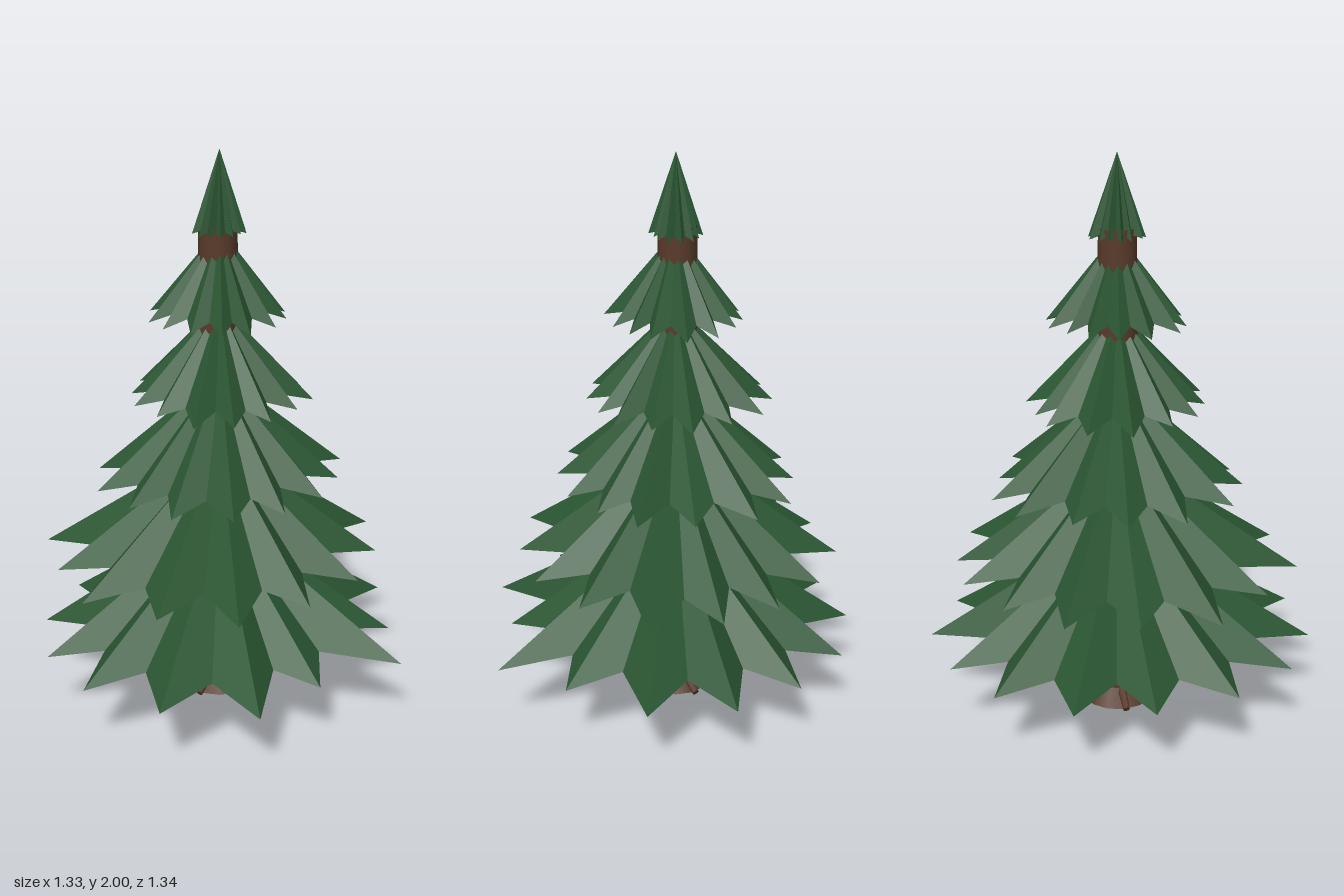
import * as THREE from 'three';

const green = new THREE.MeshStandardMaterial({ color: 0x2a5532, flatShading: true });
green.name = 'pine green';
const brown = new THREE.MeshStandardMaterial({ color: 0x593b2b });
brown.name = 'bark brown';

const POINTS = 14;
const STEP = (Math.PI * 2) / POINTS;

// small seeded random, 0..1
function seeded(seed) {
  let s = seed;
  return () => {
    s = (s * 16807) % 2147483647;
    return s / 2147483647;
  };
}

// star-shaped cone: drooping tips, raised valleys, hollowed underside
function tierGeometry({ apex, tip, valley, cap, radii, angles }, seed) {
  const rand = seeded(seed);
  const at = (r, a, y) => new THREE.Vector3(Math.cos(a) * r, y, Math.sin(a) * r);
  const angle = (i) => i * STEP + THREE.MathUtils.degToRad(angles[i % POINTS]);
  const rim = [];
  for (let i = 0; i < POINTS; i++) {
    const inner = ((radii[i] + radii[(i + 1) % POINTS]) / 2) * (0.7 + 0.06 * rand());
    rim.push(at(radii[i], angle(i), tip + 0.01 * (rand() - 0.5)));
    rim.push(at(inner, (angle(i) + angle(i + 1)) / 2, valley));
  }
  const top = new THREE.Vector3(0, apex, 0);
  const under = new THREE.Vector3(0, cap, 0);
  const tris = [];
  rim.forEach((p, i) => {
    const q = rim[(i + 1) % rim.length];
    tris.push(top, q, p, under, p, q);
  });
  const g = new THREE.BufferGeometry().setFromPoints(tris);
  g.computeVertexNormals();
  return g;
}

// values scattered evenly around a mean
function scatter(mean, spread, seed) {
  const rand = seeded(seed);
  return Array.from({ length: POINTS }, () => mean + spread * (2 * rand() - 1));
}

export function createModel() {
  const tree = new THREE.Group();
  tree.name = 'pineTree';

  // trunk with a flared foot
  const stem = new THREE.Group();
  stem.name = 'stem';
  stem.position.set(-0.054, 0, -0.015);
  tree.add(stem);
  const trunk = new THREE.Mesh(new THREE.CylinderGeometry(0.067, 0.081, 1.74, 12), brown);
  trunk.name = 'trunk';
  trunk.position.y = 0.88;
  const foot = new THREE.Mesh(new THREE.CylinderGeometry(0.081, 0.12, 0.065, 12), brown);
  foot.name = 'trunkFoot';
  foot.position.y = 0.0325;
  stem.add(trunk, foot);

  // four roots leaning outwards
  for (let i = 0; i < 4; i++) {
    const spoke = new THREE.Group();
    spoke.name = 'rootSpoke' + (i + 1);
    spoke.rotation.y = (i * Math.PI) / 2;
    const root = new THREE.Mesh(new THREE.CylinderGeometry(0.017, 0.012, 0.11, 8), brown);
    root.name = 'root';
    root.position.set(0.101, 0.041, 0);
    root.rotation.z = 1.08;
    spoke.add(root);
    stem.add(spoke);
  }

  // branch tiers from the bottom up; angles are small offsets in degrees
  const tiers = [
    {
      apex: 0.69, tip: 0.245, valley: 0.28, cap: 0.315,
      radii: [0.714, 0.598, 0.709, 0.696, 0.692, 0.67, 0.641, 0.62, 0.636, 0.646, 0.645, 0.67, 0.663, 0.615],
      angles: [-1.2, 1, -0.6, 1.3, 1.2, -1.1, -1.7, 0.3, -0.1, 1, -0.5, -2.3, -1.7, 2],
    },
    {
      apex: 0.96, tip: 0.537, valley: 0.57, cap: 0.605,
      radii: [0.55, 0.56, 0.608, 0.6, 0.639, 0.6, 0.638, 0.56, 0.582, 0.565, 0.573, 0.571, 0.6, 0.56],
      angles: [1, 3, 4.2, 5, 5.7, 5.4, 5.2, 4.5, 4.2, 4, 3.5, -0.5, -1.2, 0],
    },
    { apex: 1.22, tip: 0.832, valley: 0.865, cap: 0.895, radii: scatter(0.44, 0.025, 31), angles: scatter(6, 3, 32) },
    { apex: 1.465, tip: 1.125, valley: 1.155, cap: 1.19, radii: scatter(0.322, 0.02, 47), angles: scatter(3, 3, 48) },
    { apex: 1.73, tip: 1.42, valley: 1.45, cap: 1.48, radii: scatter(0.242, 0.012, 59), angles: scatter(9, 3, 60) },
    { apex: 2.0, tip: 1.715, valley: 1.73, cap: 1.74, radii: scatter(0.091, 0.008, 73), angles: scatter(5, 3, 74) },
  ];
  const branches = new THREE.Group();
  branches.name = 'branches';
  branches.position.set(-0.047, 0, -0.015);
  tree.add(branches);
  tiers.forEach((t, i) => {
    const tier = new THREE.Mesh(tierGeometry(t, 101 + i * 977), green);
    tier.name = 'branchTier' + (i + 1);
    branches.add(tier);
  });

  return tree;
}
